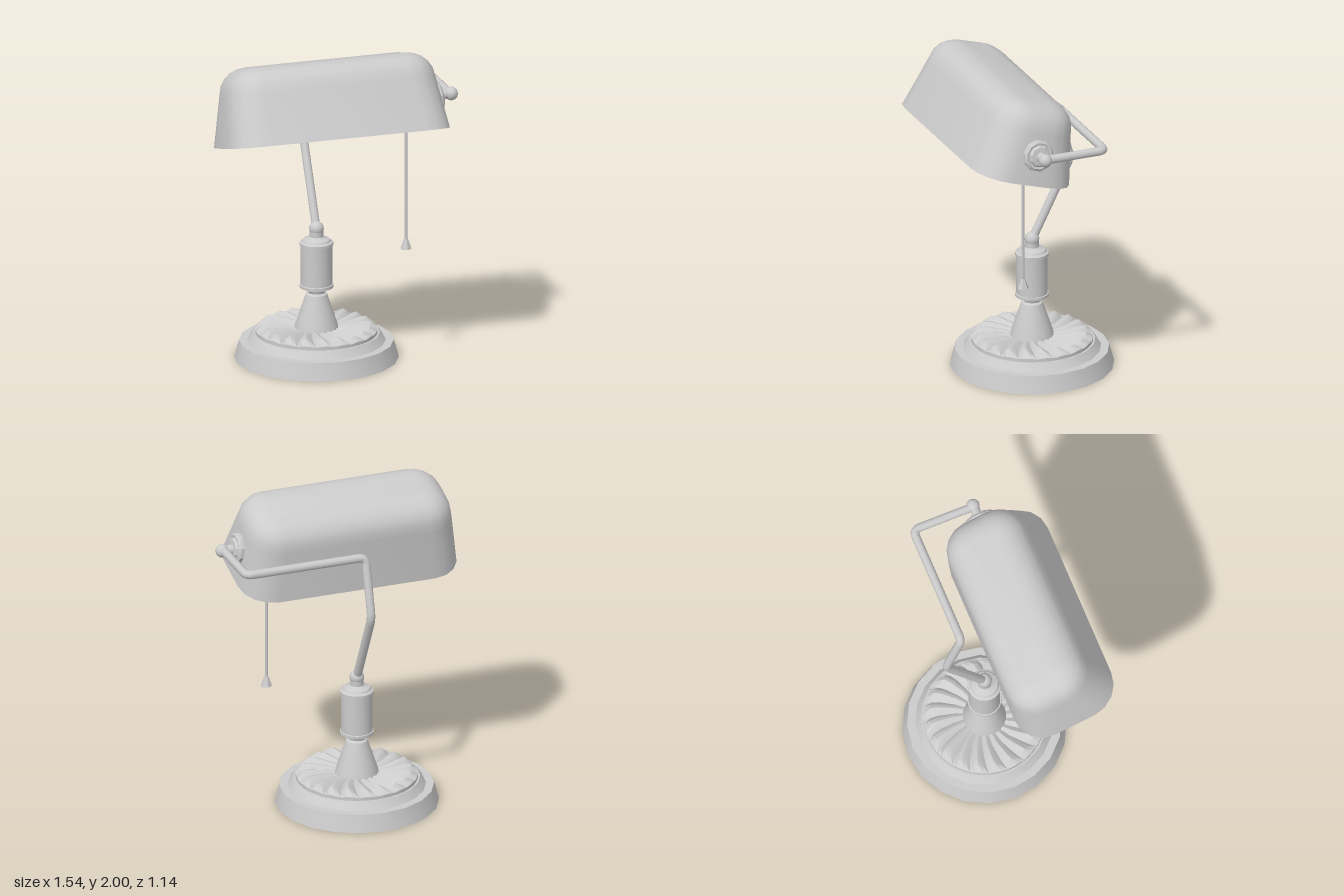
import * as THREE from 'three';
import { toCreasedNormals } from 'three/addons/utils/BufferGeometryUtils.js';

const V = (x, y, z) => new THREE.Vector3(x, y, z);
const material = new THREE.MeshStandardMaterial({ color: 0xcccccc });

function add(parent, name, geometry, x = 0, y = 0, z = 0) {
  const mesh = new THREE.Mesh(geometry, material);
  mesh.name = name;
  mesh.position.set(x, y, z);
  parent.add(mesh);
  return mesh;
}

// Turned part from [radius, height] pairs, listed from bottom to top
function turned(profile, sides, crease = 0.5) {
  const pts = profile.map(([r, y]) => new THREE.Vector2(r, y));
  return toCreasedNormals(new THREE.LatheGeometry(pts, sides), crease);
}

// Skin over closed loops of points
function loft(rows, crease) {
  const n = rows[0].length, index = [];
  for (let i = 0; i < rows.length - 1; i++) {
    for (let j = 0; j < n; j++) {
      const a = i * n + j, b = i * n + (j + 1) % n;
      index.push(a, a + n, b + n, a, b + n, b);
    }
  }
  const g = new THREE.BufferGeometry().setFromPoints(rows.flat());
  g.setIndex(index);
  return toCreasedNormals(g, crease);
}

// Rounded rectangle loop at height y
function roundedLoop(hx, hz, r, y, steps = 4) {
  const loop = [];
  [[1, 1], [-1, 1], [-1, -1], [1, -1]].forEach(([sx, sz], q) => {
    for (let k = 0; k <= steps; k++) {
      const a = (q + k / steps) * Math.PI / 2;
      loop.push(V(sx * (hx - r) + r * Math.cos(a), y, sz * (hz - r) + r * Math.sin(a)));
    }
  });
  return loop;
}

// Pipe through points with rounded bends
function bentPipe(points, radius, bend) {
  const path = new THREE.CurvePath();
  let from = points[0];
  for (let i = 1; i < points.length - 1; i++) {
    const p = points[i];
    const inn = p.clone().add(points[i - 1].clone().sub(p).setLength(bend));
    const out = p.clone().add(points[i + 1].clone().sub(p).setLength(bend));
    path.add(new THREE.LineCurve3(from, inn));
    path.add(new THREE.QuadraticBezierCurve3(inn, p, out));
    from = out;
  }
  path.add(new THREE.LineCurve3(from, points[points.length - 1]));
  return new THREE.TubeGeometry(path, 140, radius, 10);
}

function createShade() {
  const shade = new THREE.Group();
  shade.name = 'shade';
  // Outer shell sections: half width, half depth, corner radius, height
  const sections = [[0.71, 0.334, 0.2, 0], [0.664, 0.268, 0.19, 0.32]];
  for (let k = 1; k <= 5; k++) {
    const a = k / 5 * Math.PI / 2, inset = 0.17 * (1 - Math.cos(a));
    sections.push([0.66 - inset, 0.265 - inset, 0.19 - inset, 0.33 + 0.15 * Math.sin(a)]);
  }
  const t = 0.01;
  const outer = sections.map(s => roundedLoop(...s));
  const inner = sections.map(([hx, hz, r, y], i) =>
    roundedLoop(hx - t, hz - t, r - t, i ? y - t : 0)).reverse();
  const cap = y => outer[0].map(() => V(0, y, 0));
  add(shade, 'shadeShell', loft([cap(0.48 - t), ...inner, ...outer, cap(0.48)], 0.7));

  // Round mounting plate on the end
  const plate = turned([[0, -0.02], [0.1, -0.02], [0.1, 0.012], [0.085, 0.024],
    [0.07, 0.02], [0.06, 0.035], [0, 0.042]], 10);
  add(shade, 'mountingPlate', plate, 0.69, 0.194, 0).rotation.z = -Math.PI / 2 + 0.14;

  shade.position.set(-0.06, 1.505, 0.25);
  shade.rotation.x = -0.288;
  return shade;
}

function createBase() {
  const base = new THREE.Group();
  base.name = 'base';
  // Stepped foot
  add(base, 'foot', turned([[0, 0], [0.505, 0], [0.475, 0.11], [0.425, 0.11],
    [0.39, 0.16], [0.375, 0.16], [0.375, 0.178], [0, 0.178]], 20));

  // Ring of overlapping petals
  const petals = 20, lift = [-1, 0.2, 1, 0.5];
  const ring = [[0.375, 0.16, 0], [0.375, 0.18, 0.003], [0.335, 0.198, 0.018],
    [0.29, 0.204, 0.016], [0.2, 0.196, 0.01], [0.11, 0.19, 0.004]];
  add(base, 'petalRing', loft(ring.map(([r, y, wave]) =>
    Array.from({ length: petals * 4 }, (_, j) => {
      const a = j / (petals * 4) * Math.PI * 2 + (0.375 - r) * 0.8;
      return V(r * Math.cos(a), y + wave * lift[j % 4], r * Math.sin(a));
    })), 0.5));

  // Flared foot of the column, then its neck, barrel and collars
  add(base, 'column', turned([[0.137, 0.18], [0.128, 0.22], [0.066, 0.405], [0.052, 0.415],
    [0.055, 0.425], [0.072, 0.435], [0.072, 0.447], [0.104, 0.45], [0.104, 0.468],
    [0.097, 0.47], [0.097, 0.72], [0.104, 0.722], [0.104, 0.738], [0.09, 0.745],
    [0.082, 0.758], [0.05, 0.768], [0.042, 0.775], [0.042, 0.81], [0, 0.81]], 20));
  add(base, 'columnBall', new THREE.SphereGeometry(0.046, 14, 10), 0, 0.825, 0);
  base.position.set(-0.06, 0, -0.06);
  return base;
}

export function createModel() {
  const lamp = new THREE.Group();
  lamp.name = 'deskLamp';
  lamp.add(createBase(), createShade());

  // Bent arm from the column round to the end of the shade
  add(lamp, 'arm', bentPipe([V(-0.06, 0.82, -0.06), V(-0.06, 1.325, -0.315),
    V(-0.06, 1.693, -0.213), V(0.72, 1.693, -0.213), V(0.72, 1.693, 0.19)], 0.027, 0.045));
  add(lamp, 'armBall', new THREE.SphereGeometry(0.042, 14, 10), 0.728, 1.693, 0.188);
  add(lamp, 'pivot', new THREE.CylinderGeometry(0.026, 0.036, 0.1, 12), 0.675, 1.693, 0.19)
    .rotation.z = -Math.PI / 2;

  // Socket and bulb lying along the inside of the shade
  add(lamp, 'socket', new THREE.CylinderGeometry(0.06, 0.06, 0.24, 14), 0.5, 1.693, 0.19)
    .rotation.z = Math.PI / 2;
  add(lamp, 'bulb', turned([[0.045, -0.4], [0.05, -0.33], [0.1, -0.22], [0.15, -0.1],
    [0.17, 0], [0.155, 0.07], [0.11, 0.125], [0.055, 0.16], [0, 0.17]], 14, 1), 0.03, 1.693, 0.19)
    .rotation.z = Math.PI / 2;

  // Pull chain with a small conical knob
  add(lamp, 'pullChain', new THREE.CylinderGeometry(0.01, 0.01, 0.89, 6), 0.43, 1.235, 0.21);
  add(lamp, 'pullKnob', toCreasedNormals(new THREE.CylinderGeometry(0.012, 0.036, 0.065, 6), 0.5),
    0.43, 0.763, 0.21);
  return lamp;
}
